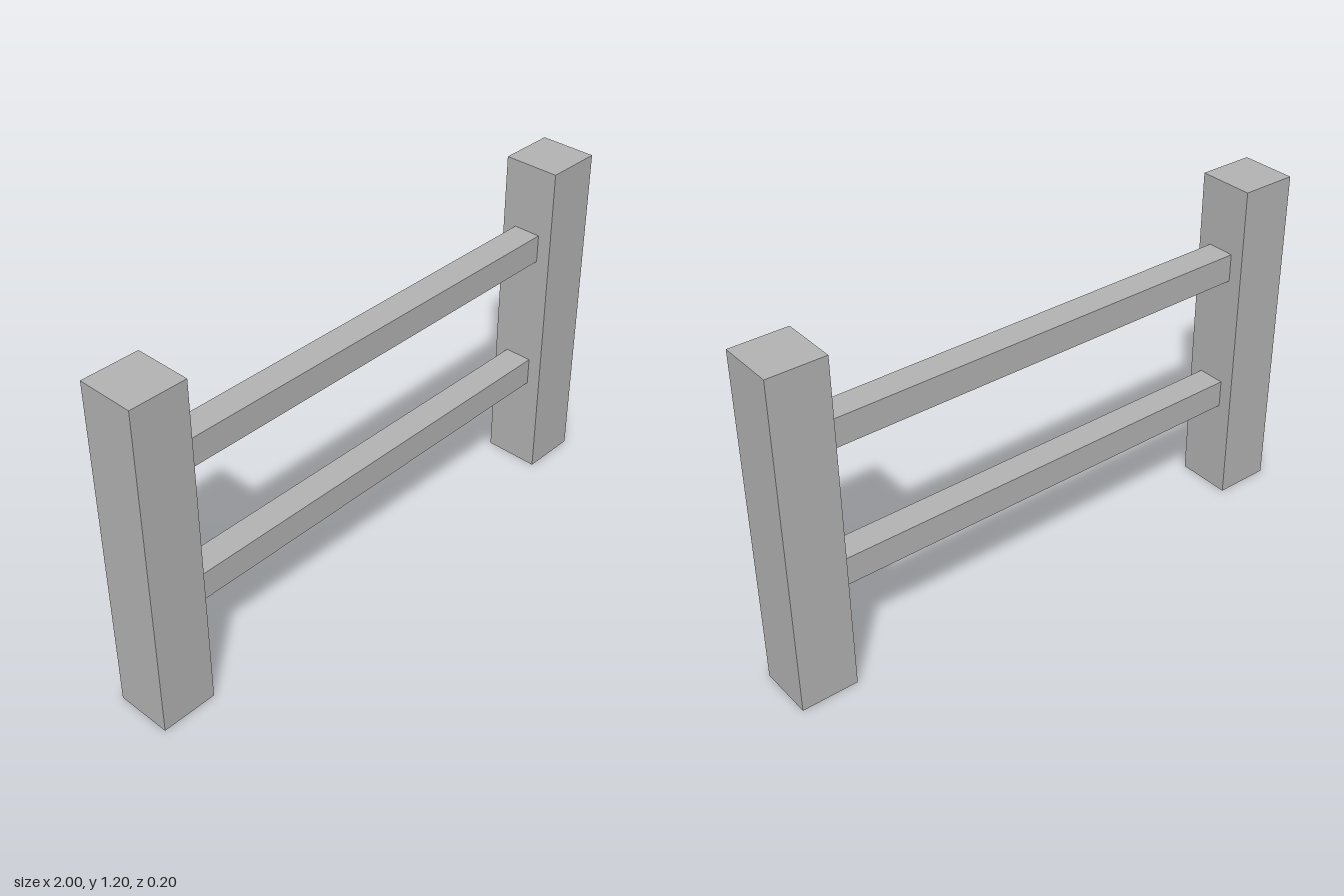
import * as THREE from 'three';

export function createModel() {
  const fence = new THREE.Group();
  fence.name = 'fence';
  const grey = new THREE.MeshStandardMaterial({ color: 0xb3b3b3 });
  grey.name = 'grey';

  const addBox = (name, [w, h, d], [x, y, z]) => {
    const mesh = new THREE.Mesh(new THREE.BoxGeometry(w, h, d), grey);
    mesh.name = name;
    mesh.position.set(x, y, z);
    fence.add(mesh);
  };

  // Square end posts
  addBox('leftPost', [0.2, 1.2, 0.2], [0.9, 0.6, 0]);
  addBox('rightPost', [0.2, 1.2, 0.2], [-0.9, 0.6, 0]);

  // Horizontal rails spanning between the posts
  addBox('lowerRail', [1.6, 0.1, 0.1], [0, 0.4, 0]);
  addBox('upperRail', [1.6, 0.1, 0.1], [0, 0.905, 0]);

  return fence;
}
